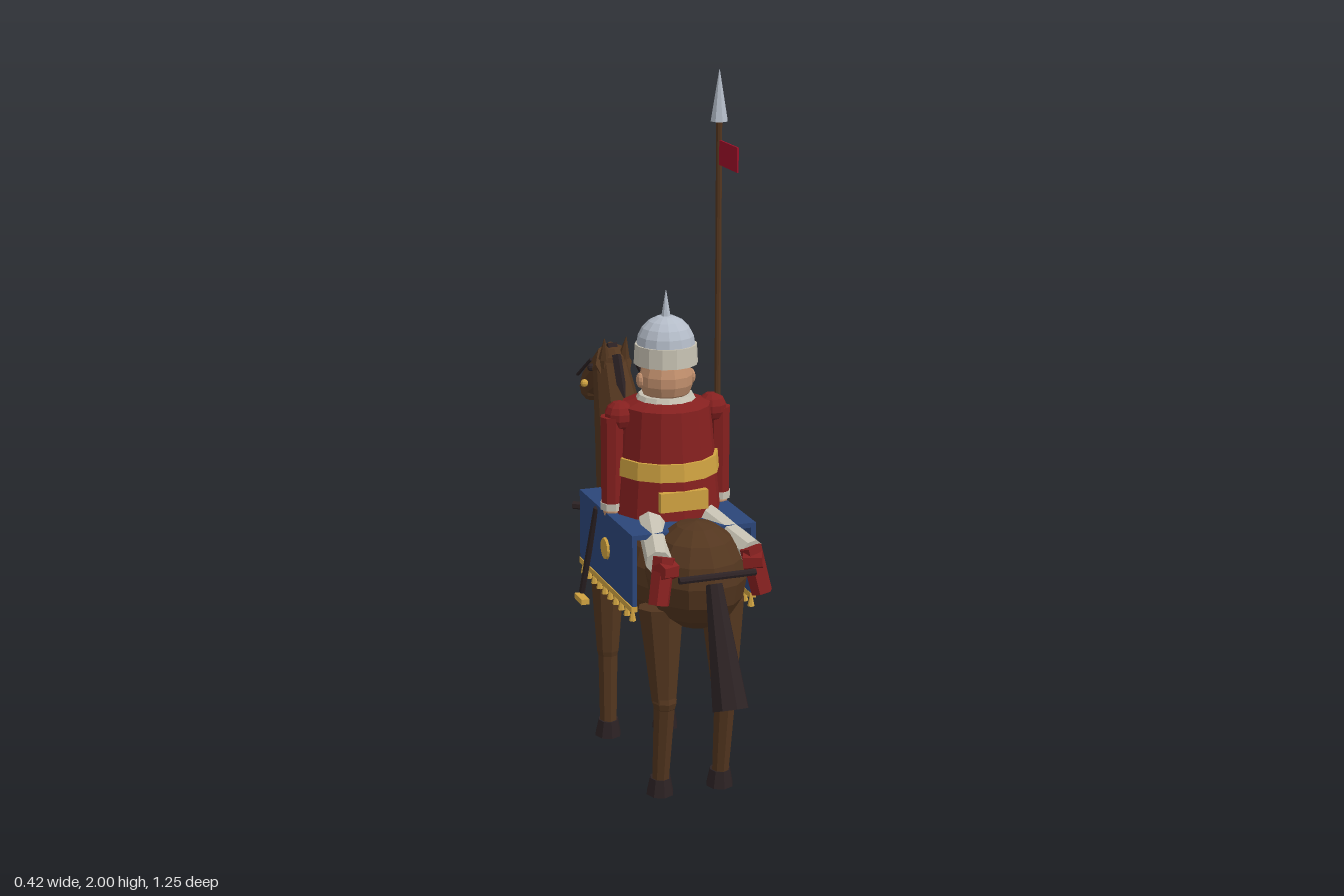
import * as THREE from 'three';

const paint = (name, color, side = THREE.FrontSide) => {
  const m = new THREE.MeshStandardMaterial({ color, flatShading: true, side });
  m.name = name;
  return m;
};

export function createModel() {
  const root = new THREE.Group();
  root.name = 'mountedLancer';
  const brown = paint('horse brown', 0x53361f);
  const dark = paint('dark leather', 0x2c2224);
  const red = paint('tunic red', 0x85201f);
  const crimson = paint('pennant crimson', 0x9c1029, THREE.DoubleSide);
  const blue = paint('cloth blue', 0x2b4679);
  const gold = paint('gold', 0xd0a341);
  const steel = paint('steel', 0xb4bcc8);
  const ivory = paint('ivory', 0xc6c1b2);
  const skin = paint('skin', 0xc08e6c);

  const V = (p) => new THREE.Vector3(...p);
  const add = (name, geo, mat, p = [0, 0, 0], parent = root) => {
    const m = new THREE.Mesh(geo, mat);
    m.name = name;
    m.position.set(...p);
    parent.add(m);
    return m;
  };
  const ball = (name, mat, p, r, s = [1, 1, 1], w = 12, h = 8) => {
    const m = add(name, new THREE.SphereGeometry(r, w, h), mat, p);
    m.scale.set(...s);
    return m;
  };
  const box = (name, mat, p, size) => add(name, new THREE.BoxGeometry(...size), mat, p);
  // Tapered rod from point a to point b
  const rod = (name, mat, a, b, ra, rb = ra, n = 8, sx = 1) => {
    const A = V(a), B = V(b), d = B.clone().sub(A);
    const geo = new THREE.CylinderGeometry(rb, ra, d.length(), n);
    const m = add(name, geo, mat, A.clone().add(B).multiplyScalar(0.5).toArray());
    m.quaternion.setFromUnitVectors(new THREE.Vector3(0, 1, 0), d.normalize());
    m.scale.x = sx;
    return m;
  };
  const tube = (name, mat, y0, y1, r0, r1, z = 0.07, n = 14) =>
    rod(name, mat, [0, y0, z], [0, y1, z], r0, r1, n);

  // Horse body
  ball('barrel', brown, [0, 0.605, 0.05], 0.155, [0.98, 1, 2.2], 14, 10);
  ball('rump', brown, [0, 0.655, 0.31], 0.152, [0.92, 1, 1], 12, 8);
  ball('chest', brown, [0, 0.625, -0.21], 0.148, [0.98, 1, 1], 12, 8);
  rod('neck', brown, [0, 0.68, -0.205], [0, 1.07, -0.405], 0.13, 0.064, 10, 0.8);

  // Horse head
  rod('head', brown, [0, 1.085, -0.375], [0, 0.975, -0.575], 0.066, 0.045, 8, 0.85);
  ball('muzzle', brown, [0, 0.967, -0.575], 0.048, [0.85, 1, 1], 8, 6);
  ball('poll', brown, [0, 1.075, -0.4], 0.062, [0.85, 1, 1], 8, 6);
  rod('mane', dark, [0, 0.89, -0.235], [0, 1.115, -0.35], 0.014, 0.014, 4);
  box('forelock', dark, [0, 1.125, -0.4], [0.028, 0.02, 0.04]).rotation.x = -0.5;

  // Tail
  rod('tail', dark, [0, 0.67, 0.45], [0, 0.355, 0.578], 0.024, 0.052, 8);
  rod('crupperBar', dark, [-0.11, 0.7, 0.475], [0.11, 0.7, 0.475], 0.01);

  // Mirrored horse parts and tack
  for (const s of [-1, 1]) {
    rod('ear', brown, [s * 0.03, 1.1, -0.372], [s * 0.034, 1.165, -0.36], 0.018, 0.001, 6);
    ball('horseEye', dark, [s * 0.052, 1.062, -0.432], 0.012, [1, 1, 1], 8, 6);
    ball('bitRing', gold, [s * 0.052, 0.998, -0.495], 0.012, [1, 1, 1], 8, 6);
    rod('bridle', dark, [s * 0.049, 1.085, -0.44], [s * 0.042, 1.0, -0.59], 0.005, 0.005, 5);
    rod('breastBar', dark, [s * 0.07, 0.67, -0.3], [s * 0.14, 0.67, -0.345], 0.012, 0.012, 6);
    ball('chestStud', gold, [s * 0.075, 0.675, -0.327], 0.02, [1, 1, 0.5], 8, 6);

    // Front leg
    rod('frontUpperLeg', brown, [s * 0.09, 0.56, -0.175], [s * 0.09, 0.27, -0.178], 0.056, 0.034);
    ball('frontKnee', brown, [s * 0.09, 0.27, -0.178], 0.034, [1, 1, 1], 8, 6);
    rod('frontLowerLeg', brown, [s * 0.09, 0.27, -0.178], [s * 0.09, 0.045, -0.178], 0.03, 0.026);
    rod('frontHoof', dark, [s * 0.09, 0, -0.182], [s * 0.09, 0.05, -0.178], 0.04, 0.03);

    // Hind leg
    rod('hindUpperLeg', brown, [s * 0.09, 0.56, 0.28], [s * 0.09, 0.29, 0.305], 0.066, 0.036);
    ball('hock', brown, [s * 0.09, 0.29, 0.309], 0.036, [1, 1, 1], 8, 6);
    rod('hindLowerLeg', brown, [s * 0.09, 0.29, 0.309], [s * 0.09, 0.045, 0.277], 0.032, 0.025);
    rod('hindHoof', dark, [s * 0.09, 0, 0.271], [s * 0.09, 0.05, 0.274], 0.04, 0.03);

    // Saddle cloth side with fringe and medallion
    box('clothSide', blue, [s * 0.174, 0.675, 0.073], [0.014, 0.2, 0.455]);
    box('clothTrim', gold, [s * 0.175, 0.567, 0.073], [0.018, 0.016, 0.455]);
    for (let i = 0; i < 10; i++) {
      const z = 0.285 - i * 0.047;
      rod('tassel', gold, [s * 0.175, 0.56, z], [s * 0.175, 0.53, z], 0.004, 0.01, 6);
    }
    rod('clothMedallion', gold, [s * 0.175, 0.675, 0.08], [s * 0.188, 0.675, 0.08], 0.034, 0.03, 12);

    // Stirrup
    rod('stirrupStrap', dark, [s * 0.182, 0.77, 0], [s * 0.198, 0.49, -0.09], 0.009, 0.009, 6);
    box('stirrup', gold, [s * 0.198, 0.47, -0.09], [0.024, 0.016, 0.065]);

    // Rider legs
    rod('breeches', ivory, [s * 0.07, 0.775, 0.14], [s * 0.135, 0.725, 0.385], 0.042, 0.036);
    rod('boot', red, [s * 0.125, 0.745, 0.4], [s * 0.15, 0.62, 0.425], 0.032, 0.03, 6);
    rod('bootKnee', red, [s * 0.105, 0.71, 0.405], [s * 0.15, 0.715, 0.43], 0.03, 0.025, 6);

    // Rider arms
    ball('shoulder', red, [s * 0.137, 1.055, 0.07], 0.043, [1, 1, 1], 10, 7);
    rod('sleeve', red, [s * 0.158, 1.055, 0.07], [s * 0.16, 0.805, 0.07], 0.034, 0.031);
    rod('cuff', ivory, [s * 0.16, 0.808, 0.07], [s * 0.16, 0.788, 0.07], 0.034);
    ball('hand', skin, [s * 0.16, 0.782, 0.07], 0.026, [1, 1, 1], 8, 6);

    // Face sides
    ball('riderEar', skin, [s * 0.076, 1.15, 0.07], 0.018, [0.6, 1.2, 1], 8, 6);
    ball('riderEye', dark, [s * 0.028, 1.165, 0.002], 0.008, [1, 1, 1], 6, 5);
    rod('moustache', dark, [0, 1.142, -0.014], [s * 0.042, 1.148, 0.001], 0.012, 0.004, 6);
    rod('chinStrap', dark, [s * 0.078, 1.19, 0.05], [s * 0.02, 1.092, 0.008], 0.005, 0.005, 5);
  }
  ball('chestMedallion', gold, [0, 0.655, -0.355], 0.022, [1, 1, 0.5], 8, 6);
  box('clothTop', blue, [0, 0.772, 0.073], [0.362, 0.014, 0.455]);

  // Rider torso
  tube('tunic', red, 0.77, 1.08, 0.155, 0.125);
  tube('tunicTop', red, 1.08, 1.095, 0.125, 0.085);
  tube('belt', gold, 0.89, 0.94, 0.151, 0.147);
  const collar = add('collar', new THREE.TorusGeometry(0.068, 0.017, 6, 14), ivory, [0, 1.093, 0.07]);
  collar.rotation.x = Math.PI / 2;
  box('backPouch', gold, [0, 0.835, 0.212], [0.14, 0.055, 0.02]);
  rod('buttonPlacket', ivory, [0, 0.8, -0.083], [0, 1.08, -0.056], 0.012, 0.012, 4);
  for (let i = 0; i < 7; i++) {
    const t = i / 6;
    ball('button', ivory, [0, 0.84 + t * 0.22, -0.09 + t * 0.023], 0.012, [1, 1, 1], 6, 5);
  }
  box('chestBadge', gold, [0.055, 1.03, -0.05], [0.035, 0.02, 0.012]).rotation.y = -0.45;

  // Rider head
  ball('face', skin, [0, 1.15, 0.07], 0.077, [1, 1, 1], 12, 9);
  rod('nose', skin, [0, 1.18, -0.002], [0, 1.153, -0.018], 0.006, 0.012, 6);

  // Helmet
  tube('helmetBand', ivory, 1.195, 1.25, 0.09, 0.087);
  add('helmetDome', new THREE.SphereGeometry(0.082, 14, 5, 0, Math.PI * 2, 0, Math.PI / 2), steel, [0, 1.248, 0.07]);
  tube('helmetSpike', steel, 1.325, 1.4, 0.014, 0.001, 0.07, 8);

  // Lance and pennant
  rod('lanceShaft', brown, [0.153, 0.42, 0.073], [0.153, 1.87, 0.073], 0.009, 0.009, 8);
  rod('lanceTip', steel, [0.153, 1.86, 0.073], [0.153, 2, 0.073], 0.025, 0.001, 8);
  box('pennant', crimson, [0.153, 1.775, 0.145], [0.005, 0.068, 0.135]);

  return root;
}
